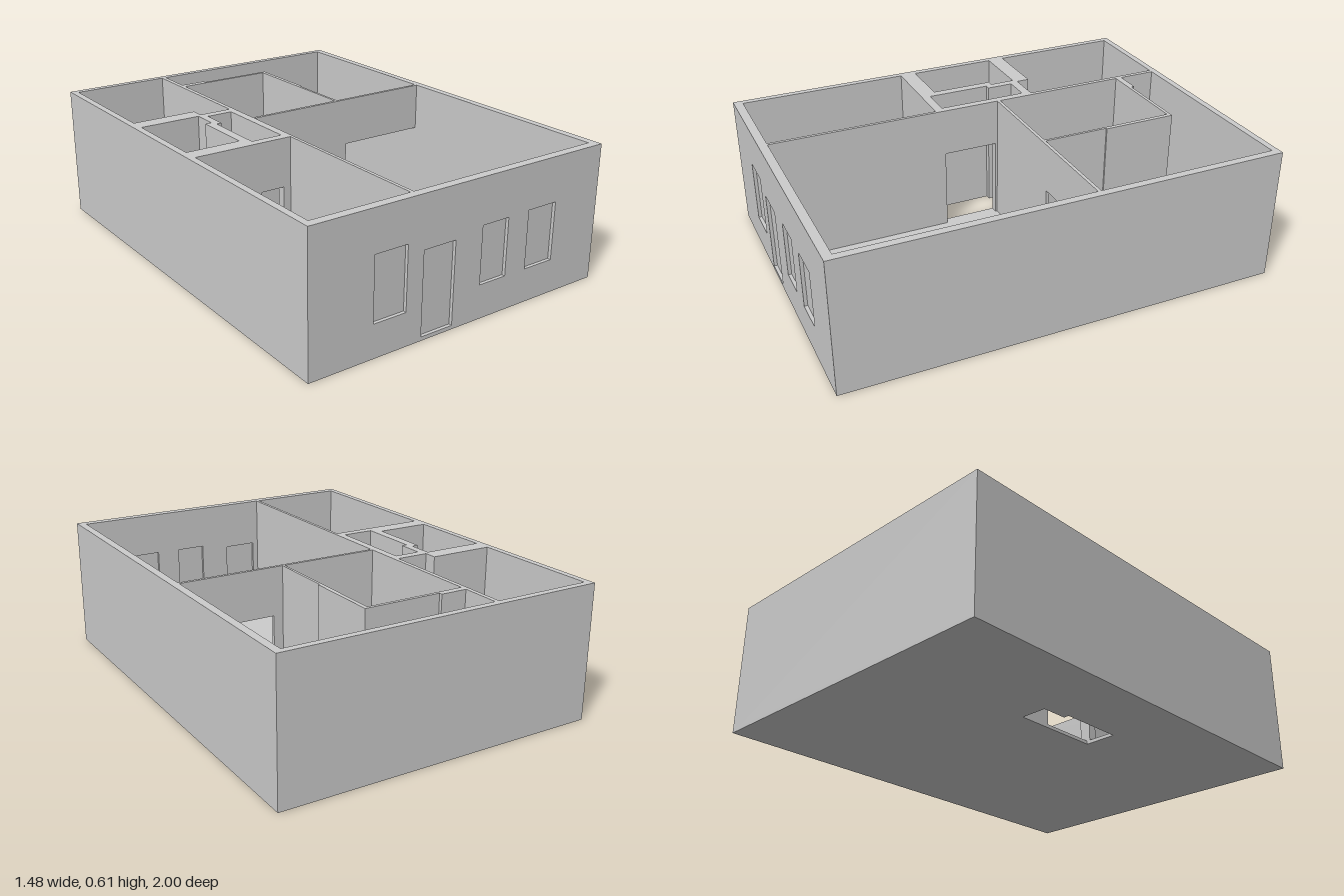
import * as THREE from 'three';

export function createModel() {
  const house = new THREE.Group();
  house.name = 'floorPlanHouse';
  const material = new THREE.MeshStandardMaterial({ color: 0xcccccc, flatShading: true });
  const H = 0.61, DOOR = 0.39, FLOOR = 0.015;

  const add = (name, geometry) => {
    const mesh = new THREE.Mesh(geometry, material);
    mesh.name = name;
    house.add(mesh);
    return mesh;
  };
  // Axis-aligned block given by its limits
  const block = (name, x0, x1, z0, z1, y0 = 0, y1 = H) =>
    add(name, new THREE.BoxGeometry(x1 - x0, y1 - y0, z1 - z0))
      .position.set((x0 + x1) / 2, (y0 + y1) / 2, (z0 + z1) / 2);
  const outline = (pts, Type = THREE.Shape) => new Type(pts.map(([x, y]) => new THREE.Vector2(x, y)));
  const rect = (x0, x1, y0, y1) => [[x0, y0], [x1, y0], [x1, y1], [x0, y1]];

  // Floor slab with the stepped shaft of the hall (shape y is -z)
  const slab = outline(rect(-0.74, 0.74, -1, 1));
  slab.holes.push(outline([
    [-0.42, -0.14], [-0.42, 0.15], [-0.395, 0.15], [-0.395, 0.27], [-0.275, 0.27], [-0.275, -0.14],
  ], THREE.Path));
  add('floor', new THREE.ExtrudeGeometry(slab, { depth: FLOOR, bevelEnabled: false })
    .rotateX(-Math.PI / 2));

  // Front wall with recessed windows and door
  const openings = [
    ['window', -0.447, -0.292, 0.147, 0.427],
    ['frontDoor', -0.213, -0.055, 0.017, 0.382],
    ['window', 0.085, 0.223, 0.152, 0.407],
    ['window', 0.335, 0.488, 0.152, 0.41],
  ];
  const front = outline(rect(-0.74, 0.74, 0, H));
  for (const [name, x0, x1, y0, y1] of openings) {
    front.holes.push(outline(rect(x0, x1, y0, y1), THREE.Path));
    block(name, x0, x1, 0.973, 0.985, y0, y1);
  }
  add('frontWall', new THREE.ExtrudeGeometry(front, { depth: 0.04, bevelEnabled: false })
    .translate(0, 0, 0.96));

  // Other outer walls
  block('backWall', -0.74, 0.74, -1, -0.97);
  block('rightWall', -0.74, -0.71, -0.97, 0.96);
  block('leftWall', 0.705, 0.74, -0.97, 0.96);

  // Long inner wall, open between the hall and the living room
  block('spineWallBack', -0.26, -0.24, -0.97, -0.27);
  block('spineWallMiddle', -0.275, -0.24, -0.27, -0.115);
  block('spineLintel', -0.275, -0.24, -0.115, 0.14, DOOR);
  block('spineWallFront', -0.255, -0.24, 0.14, 0.96);

  // Cross wall with a wide opening beside the inner room
  block('crossWall', -0.24, 0.27, -0.14, -0.125);
  block('crossLintel', 0.27, 0.705, -0.14, -0.125, DOOR);

  // Inner room at the back
  block('innerRoomBackWall', -0.24, 0.232, -0.78, -0.765);
  block('innerRoomThickening', -0.24, -0.12, -0.795, -0.77);
  block('innerRoomSideWall', 0.213, 0.232, -0.78, -0.44);
  block('innerRoomThinSideWall', 0.213, 0.225, -0.44, -0.14);

  // Small room beside the hall
  block('smallRoomBackWall', -0.71, -0.41, -0.37, -0.295);
  block('smallRoomUpperWall', -0.43, -0.395, -0.31, -0.15);
  block('smallRoomStep', -0.46, -0.395, -0.18, -0.15);
  block('smallRoomSideWall', -0.46, -0.42, -0.18, 0.14);
  block('smallRoomFrontWall', -0.71, -0.42, 0.105, 0.18);

  // Hall end walls, each with a doorway
  const doorWall = (name, x0, x1, z0, z1, d0, d1) => {
    block(name + 'A', x0, d0, z0, z1);
    block(name + 'B', d1, x1, z0, z1);
    block(name + 'Lintel', d0, d1, z0, z1, DOOR);
    block(name + 'Sill', d0, d1, z0, z1, 0, FLOOR);
  };
  doorWall('hallBackWall', -0.43, -0.24, -0.31, -0.27, -0.36, -0.275);
  doorWall('hallFrontWall', -0.42, -0.24, 0.14, 0.18, -0.4, -0.29);

  return house;
}
